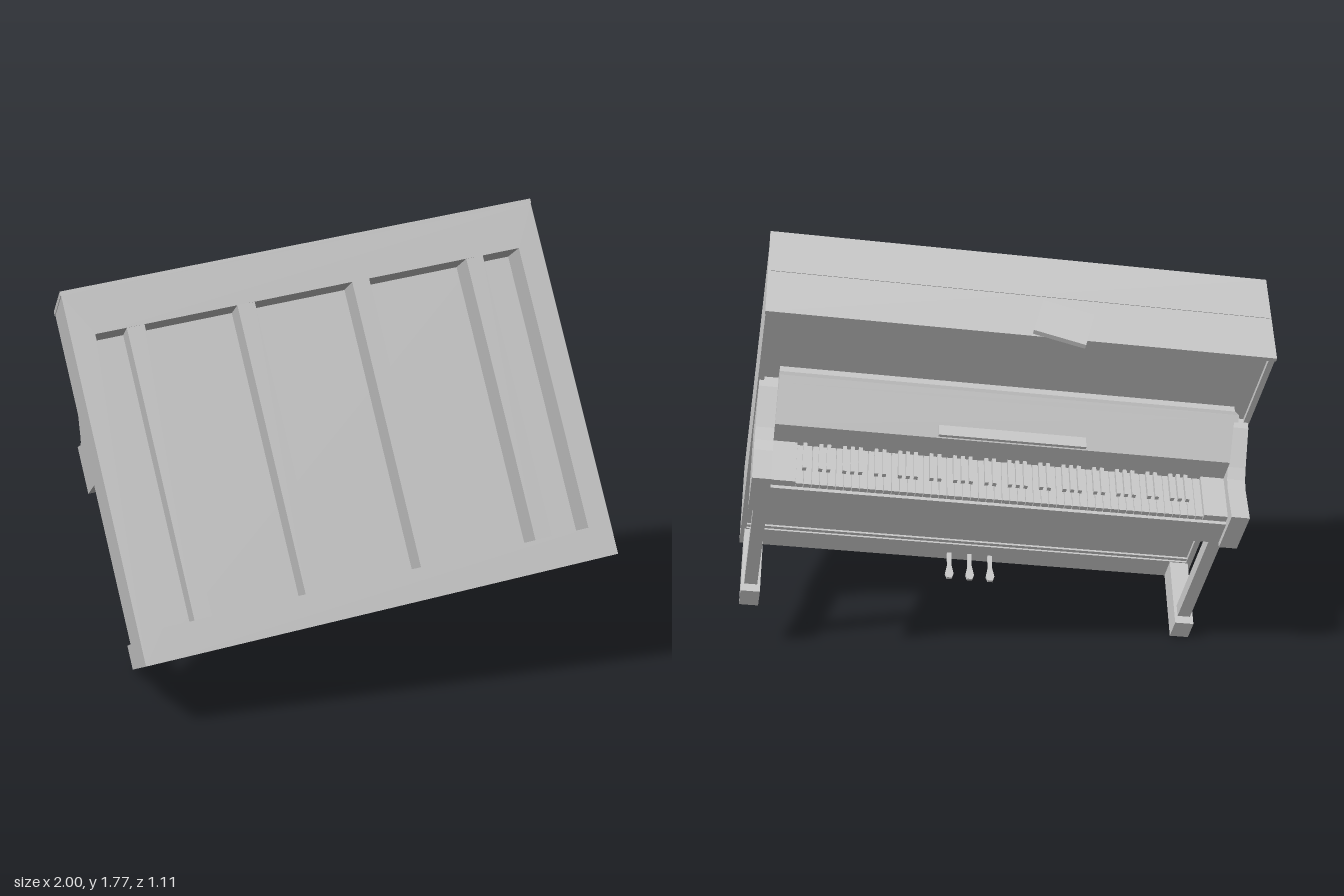
import * as THREE from 'three';

const grey = new THREE.MeshStandardMaterial({ color: 0xc8c8c8 });
grey.name = 'plain grey';

// Piano space: x = width, y = up, z = towards the back (the keyboard faces -z).
function add(parent, name, geometry) {
  const mesh = new THREE.Mesh(geometry, grey);
  mesh.name = name;
  parent.add(mesh);
  return mesh;
}

// Box from its minimum and maximum corners
function box(parent, name, x0, x1, y0, y1, z0, z1) {
  const g = new THREE.BoxGeometry(x1 - x0, y1 - y0, z1 - z0);
  g.translate((x0 + x1) / 2, (y0 + y1) / 2, (z0 + z1) / 2);
  return add(parent, name, g);
}

// Side profile of [forward, up] points, extruded across the width
function profile(parent, name, points, x0, x1) {
  const shape = new THREE.Shape(points.map(([f, u]) => new THREE.Vector2(f, u)));
  const g = new THREE.ExtrudeGeometry(shape, { depth: x1 - x0, bevelEnabled: false });
  g.translate(0, 0, x0).rotateY(Math.PI / 2);
  return add(parent, name, g);
}

function rect(path, x0, y0, x1, y1) {
  path.moveTo(x0, y0);
  path.lineTo(x1, y0);
  path.lineTo(x1, y1);
  path.lineTo(x0, y1);
  path.closePath();
  return path;
}

function buildCabinet(p) {
  // Back frame with a deep recess and four posts
  const frame = rect(new THREE.Shape(), -0.907, 0, 0.907, 1.368);
  frame.holes.push(rect(new THREE.Path(), -0.818, 0.12, 0.818, 1.207));
  const g = new THREE.ExtrudeGeometry(frame, { depth: 0.15, bevelEnabled: false });
  add(p, 'backFrame', g.translate(0, 0, -0.15));
  for (const x of [-0.668, -0.252, 0.19, 0.64]) {
    box(p, 'backPost', x - 0.033, x + 0.033, 0.12, 1.207, -0.15, -0.001);
  }

  // Body, side panels, plinth and lid
  box(p, 'body', -0.885, 0.885, 0, 1.368, -0.36, -0.15);
  for (const s of [-1, 1]) {
    const [a, b] = [s * 0.885, s * 0.907].sort((m, n) => m - n);
    box(p, 'sidePanel', a, b, 0, 1.368, -0.375, -0.15);
  }
  box(p, 'plinth', -0.885, 0.885, 0, 0.1, -0.375, -0.36);
  box(p, 'lowerMoulding', -0.885, 0.885, 0.1, 0.115, -0.368, -0.36);
  box(p, 'lid', -0.909, 0.909, 1.368, 1.385, -0.382, 0);
  box(p, 'lidHinge', -0.9, 0.9, 1.385, 1.387, -0.192, -0.188);

  // Knob of the lower panel
  const knob = new THREE.CylinderGeometry(0.012, 0.012, 0.02, 16);
  add(p, 'panelKnob', knob.rotateX(Math.PI / 2).translate(0, 0.6, -0.368));
}

function buildSupports(p) {
  const arm = [[0.36, 0.71], [0.735, 0.71], [0.735, 0.9], [0.6, 0.89], [0.56, 0.897],
    [0.52, 0.92], [0.4, 1.005], [0.36, 1.01]];
  for (const s of [-1, 1]) {
    const x = s * 0.868;
    profile(p, 'arm', arm, x - 0.034, x + 0.034);
    const c = s * 0.855;
    box(p, 'foot', c - 0.037, c + 0.037, 0, 0.095, -0.667, -0.37);
    box(p, 'leg', c - 0.025, c + 0.025, 0.095, 0.71, -0.634, -0.584);
  }
}

function buildKeyboard(p) {
  box(p, 'keybed', -0.834, 0.834, 0.71, 0.785, -0.715, -0.36);
  box(p, 'keySlip', -0.834, 0.834, 0.785, 0.825, -0.715, -0.702);
  for (const s of [-1, 1]) {
    const x = s * 0.79;
    box(p, 'keyBlock', x - 0.044, x + 0.044, 0.785, 0.855, -0.702, -0.5);
  }

  // 52 white keys, with black keys in groups of two and three
  const pitch = 1.492 / 52;
  for (let i = 0; i < 52; i++) {
    const x = 0.746 - (i + 0.5) * pitch;
    box(p, 'whiteKey', x - pitch * 0.46, x + pitch * 0.46, 0.785, 0.84, -0.698, -0.5);
    if (i < 51 && [0, 2, 3, 5, 6].includes(i % 7)) {
      const k = x - pitch / 2;
      box(p, 'blackKey', k - 0.007, k + 0.007, 0.84, 0.858, -0.638, -0.5);
    }
  }

  // Fallboard with a raised lip, and the small ledge on it
  const fall = [[0.35, 0.785], [0.525, 0.785], [0.525, 0.95], [0.405, 1.06],
    [0.455, 1.1], [0.435, 1.118], [0.385, 1.078], [0.35, 1.075]];
  profile(p, 'fallboard', fall, -0.834, 0.834);
  box(p, 'musicLedge', -0.29, 0.25, 0.97, 0.982, -0.535, -0.46);
}

function buildPedals(p) {
  const outline = [[-0.009, 0.36], [0.009, 0.36], [0.008, 0.43], [0.017, 0.475],
    [0.01, 0.495], [-0.01, 0.495], [-0.017, 0.475], [-0.008, 0.43]];
  for (const x of [-0.09, -0.008, 0.074]) {
    const shape = new THREE.Shape(outline.map(([a, b]) => new THREE.Vector2(a, b)));
    const g = new THREE.ExtrudeGeometry(shape, { depth: 0.012, bevelEnabled: false });
    add(p, 'pedal', g.rotateX(-Math.PI / 2).translate(x, 0.03, 0));
  }
}

export function createModel() {
  const model = new THREE.Group();
  model.name = 'tiltedUprightPiano';
  const piano = new THREE.Group();
  piano.name = 'uprightPiano';
  model.add(piano);

  buildCabinet(piano);
  buildSupports(piano);
  buildKeyboard(piano);
  buildPedals(piano);

  // Book lying askew on the lid
  const book = add(piano, 'book', new THREE.BoxGeometry(0.19, 0.02, 0.152));
  book.position.set(-0.137, 1.396, -0.323);
  book.rotation.y = -0.255;

  // Tilt the whole piano onto its final pose
  const across = new THREE.Vector3(0.989, 0.139, 0.036).normalize();
  const back = across.clone().cross(new THREE.Vector3(-0.11, 0.901, -0.416)).normalize();
  const up = back.clone().cross(across);
  piano.quaternion.setFromRotationMatrix(new THREE.Matrix4().makeBasis(across, up, back));
  piano.position.set(0.056, 0.4, 0.519);
  return model;
}
